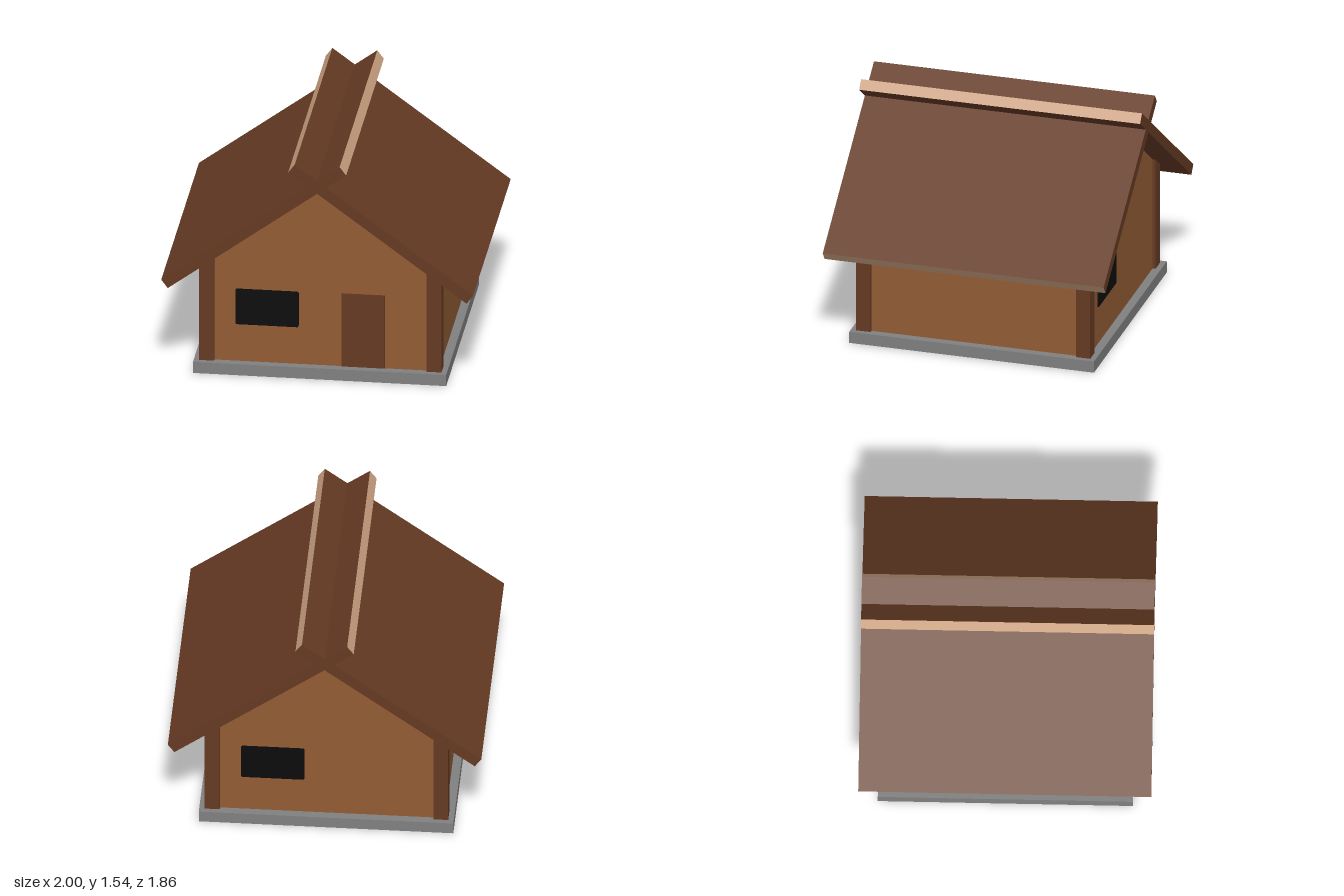
import * as THREE from 'three';

const mat = (name, color) => {
  const m = new THREE.MeshStandardMaterial({ color });
  m.name = name;
  return m;
};

export function createModel() {
  const timber = mat('dark timber', 0x653a23);
  const plank = mat('wall planks', 0x925c34);
  const endGrain = mat('cut end grain', 0xcca282);
  const stone = mat('grey stone', 0x808080);
  const glass = mat('black window', 0x0c0c0c);

  const house = new THREE.Group();
  house.name = 'cabin';

  const add = (name, geometry, material, x = 0, y = 0, z = 0) => {
    const mesh = new THREE.Mesh(geometry, material);
    mesh.name = name;
    mesh.position.set(x, y, z);
    house.add(mesh);
    return mesh;
  };
  const box = (w, h, d) => new THREE.BoxGeometry(w, h, d);
  const extrude = (shape, depth) =>
    new THREE.ExtrudeGeometry(shape, { depth, bevelEnabled: false, curveSegments: 4 });

  // Stone slab, with the notched timber floor showing underneath
  add('foundation', box(1.62, 0.077, 1.62), stone, 0, 0.0415);
  const o = 0.68, n = 0.55;
  const floor = new THREE.Shape([
    [-n, -o], [n, -o], [n, -n], [o, -n], [o, n], [n, n],
    [n, o], [-n, o], [-n, n], [-o, n], [-o, -n], [-n, -n],
  ].map(([x, y]) => new THREE.Vector2(x, y)));
  const floorMesh = add('floorUnderside', extrude(floor, 0.004), plank, 0, 0.004);
  floorMesh.rotation.x = Math.PI / 2;

  // Gabled body and the slightly wider side walls
  const gable = new THREE.Shape([
    [-0.69, 0.08], [0.69, 0.08], [0.69, 0.84], [0, 1.35], [-0.69, 0.84],
  ].map(([x, y]) => new THREE.Vector2(x, y)));
  add('gableWalls', extrude(gable, 1.51), plank, 0, 0, -0.755);
  add('sideWalls', box(1.51, 0.73, 1.38), plank, 0, 0.445);

  // Corner posts, tops buried in the roof
  for (const sx of [-1, 1]) for (const sz of [-1, 1])
    add('cornerPost', box(0.095, 0.765, 0.095), timber, sx * 0.7275, 0.4625, sz * 0.7275);

  // Two roof slabs crossing at the ridge, pale at the sloping ends
  const roofMaterials = [endGrain, endGrain, timber, timber, timber, timber];
  const pitch = Math.atan2(0.845, 1.142);
  for (const s of [-1, 1]) {
    const slab = add(s < 0 ? 'rightRoofSlab' : 'leftRoofSlab',
      box(1.42, 0.07, 1.86), roofMaterials, s * 0.406, 1.085);
    slab.rotation.z = -s * pitch;
  }

  // Door on the front
  add('door', box(0.275, 0.505, 0.008), timber, 0.2725, 0.3325, 0.757);

  // One window on each gable, with softly rounded corners
  const w = 0.2025, h = 0.1225, r = 0.012;
  const pane = new THREE.Shape();
  [[1, 1], [-1, 1], [-1, -1], [1, -1]].forEach(([sx, sy], i) =>
    pane.absarc(sx * (w - r), sy * (h - r), r, i * Math.PI / 2, (i + 1) * Math.PI / 2, false));
  pane.closePath();
  add('frontWindow', extrude(pane, 0.008), glass, -0.3425, 0.4575, 0.753);
  add('backWindow', extrude(pane, 0.008), glass, 0.3425, 0.4575, -0.753).rotation.y = Math.PI;

  return house;
}
